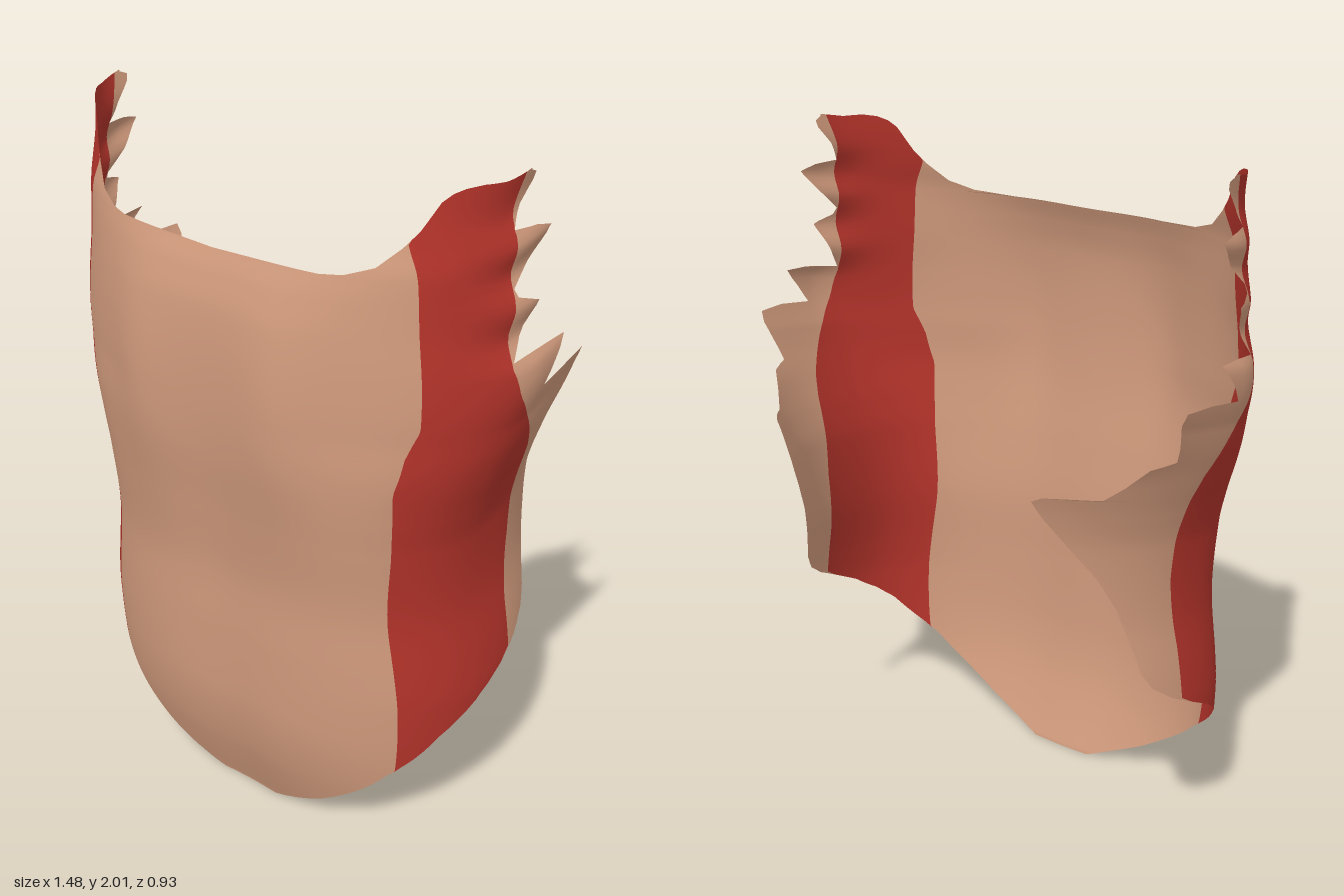
import * as THREE from 'three';

const tan = new THREE.MeshStandardMaterial({ color: 0xd09a7c, side: THREE.DoubleSide });
tan.name = 'tan';
const red = new THREE.MeshStandardMaterial({ color: 0xb2332a, side: THREE.DoubleSide });
red.name = 'red';

// Hull profiles by height: [height, value]
const WIDTH = [[0, 0.65], [0.3, 0.655], [0.5, 0.66], [0.6, 0.65], [0.8, 0.62], [1, 0.622], [1.1, 0.643],
  [1.2, 0.675], [1.3, 0.705], [1.4, 0.722], [1.5, 0.72], [1.6, 0.707], [1.7, 0.695], [1.8, 0.683], [1.9, 0.676], [2, 0.68]];
const FRONT = [[0, 0.31], [0.1, 0.345], [0.2, 0.375], [0.3, 0.395], [0.4, 0.405], [0.6, 0.41], [0.8, 0.41],
  [1, 0.43], [1.2, 0.455], [1.4, 0.465], [1.6, 0.455], [1.7, 0.43], [1.76, 0.405], [1.84, 0.37], [2, 0.335]];
const BACK = [[0, 0.6], [0.9, 0.58], [1.15, 0.62], [1.25, 0.7], [1.4, 1.1], [1.55, 1.3], [2, 1.3]];
// Squareness of the front cross-section: 1 is an ellipse
const POWER = [[0, 1.2], [0.6, 1.2], [1, 1.3], [1.2, 1.17], [1.35, 1.03], [1.6, 1], [1.7, 1.06], [1.8, 1.18], [2, 1.2]];
// Outward flare of each tooth and inward fold between teeth
const FLARE = [[1.36, 0], [1.5, 0.02], [1.59, -0.01], [1.67, 0.018], [1.75, -0.008], [1.82, 0.015], [1.9, -0.01], [2, 0]];

// Neckline and hem as [height, x]
const NECK = [[0, 0], [1.755, 0], [1.758, 0.3], [1.765, 0.38], [1.79, 0.45], [1.84, 0.5], [1.88, 0.53],
  [1.95, 0.565], [1.97, 0.585], [1.982, 0.607], [1.989, 0.635], [1.995, 0.665]];
const HEM = [[0, 0.1], [0.01, 0.125], [0.05, 0.21], [0.1, 0.302], [0.2, 0.436], [0.28, 0.513]];

// Stripe borders as [height, z]
const STRIPE_FRONT = [[0, 0.27], [0.3, 0.275], [0.7, 0.29], [1, 0.305], [1.2, 0.325], [1.3, 0.31], [1.38, 0.287], [1.6, 0.28], [2, 0.27]];
const STRIPE_BACK = [[0, -0.07], [0.7, -0.07], [0.9, -0.09], [1.05, -0.083], [1.14, -0.075], [1.21, -0.055],
  [1.32, 0.005], [1.44, 0.078], [1.52, 0.1], [1.7, 0.085], [1.9, 0.07], [1.99, 0.04]];

// Toothed rear edge as [y, z], from the hem up to the shoulder tip
const REAR = [[0.28, 0.276], [0.3, 0.265], [0.4, 0.195], [0.45, 0.14], [0.5, 0.07], [0.55, -0.02], [0.6, -0.11],
  [0.65, -0.175], [0.7, -0.205], [0.8, -0.23], [0.9, -0.26], [1, -0.31], [1.1, -0.375], [1.2, -0.44], [1.25, -0.468],
  [1.26, -0.455], [1.238, -0.34], [1.27, -0.3], [1.315, -0.26], [1.322, -0.19], [1.36, -0.2], [1.44, -0.23], [1.47, -0.225],
  [1.466, -0.13], [1.445, -0.01], [1.5, -0.045], [1.56, -0.095], [1.556, -0.02], [1.535, 0.095],
  [1.58, 0.065], [1.68, 0.01], [1.7, 0.075], [1.72, 0.08], [1.78, 0.01], [1.85, -0.055], [1.862, 0],
  [1.865, 0.075], [1.92, 0.045], [1.97, 0], [1.99, -0.005], [2, 0.02]];

// Grid rows rise towards the rear so that the teeth can point upwards
const rise = z => 0.2 * Math.max(0, 0.1 - z);
const rearRows = REAR.map(([y, z]) => [y - rise(z), z]);
for (let i = 1; i < rearRows.length; i++) rearRows[i][0] = Math.max(rearRows[i][0], rearRows[i - 1][0] + 0.002);

// Table lookup, straight or smoothed (Hermite with averaged slopes)
function lookup(t, v, smooth = false) {
  const last = t.length - 1;
  if (v <= t[0][0]) return t[0][1];
  if (v >= t[last][0]) return t[last][1];
  let i = 0;
  while (t[i + 1][0] < v) i++;
  const h = t[i + 1][0] - t[i][0], u = (v - t[i][0]) / h;
  if (!smooth) return t[i][1] + (t[i + 1][1] - t[i][1]) * u;
  const slope = k => {
    const a = t[Math.max(0, k - 1)], b = t[Math.min(last, k + 1)];
    return (b[1] - a[1]) / (b[0] - a[0]) * h;
  };
  const u2 = u * u, u3 = u2 * u;
  return (2 * u3 - 3 * u2 + 1) * t[i][1] + (u3 - 2 * u2 + u) * slope(i)
    + (3 * u2 - 2 * u3) * t[i + 1][1] + (u3 - u2) * slope(i + 1);
}

// Curved hull: angle 0 is centre front, 90 degrees is the flank
const bump = (x, centre, width) => Math.exp(-(((x - centre) / width) ** 2));
function hull(a, v) {
  const w = lookup(WIDTH, v, true), s = Math.max(0, Math.sin(a)), c = Math.cos(a);
  const flare = lookup(FLARE, v, true);
  if (c < 0) {
    const z = lookup(BACK, v, true) * c;
    return new THREE.Vector3(w * s + flare, v + rise(z), z);
  }
  const power = lookup(POWER, v, true);
  const x = w * Math.pow(s, 1 / power);
  const z = lookup(FRONT, v, true) * Math.pow(c, 1 / power)
    - 0.012 * bump(x, 0, 0.14) + 0.02 * bump(x, 0.24, 0.11) * bump(v, 1.38, 0.3);
  return new THREE.Vector3(x + flare * (1 - THREE.MathUtils.smoothstep(z, 0, 0.25)), v + rise(z), z);
}
function angleAtX(x, v) {
  return Math.asin(Math.min(1, Math.pow(x / lookup(WIDTH, v, true), lookup(POWER, v, true))));
}
function angleAtZ(z, v) {
  if (z < 0) return Math.acos(Math.max(-1, z / lookup(BACK, v, true)));
  return Math.acos(Math.min(1, Math.pow(z / lookup(FRONT, v, true), lookup(POWER, v, true))));
}

// Angles of neckline, stripe borders and outer edge on one row
function borders(v) {
  const start = angleAtX(lookup(NECK, v), v);
  const end = Math.max(start, v < 0.28 ? angleAtX(lookup(HEM, v, true), v) : angleAtZ(lookup(rearRows, v), v));
  const clamp = (a, lo) => Math.min(end, Math.max(lo, a));
  const b1 = clamp(angleAtZ(lookup(STRIPE_FRONT, v), v), start);
  const b2 = clamp(angleAtZ(lookup(STRIPE_BACK, v), v), b1);
  return [start, b1, b2, end];
}

// Rows: even steps plus every corner of the outlines
const rows = [...Array(91).keys()].map(i => i * 0.022)
  .concat(rearRows.map(p => p[0]), NECK.map(p => p[0]), HEM.map(p => p[0]))
  .filter(v => v <= 1.99).sort((a, b) => a - b)
  .filter((v, i, all) => i === 0 || v - all[i - 1] > 0.0005);

// One panel between two borders, on the left (+1) or right (-1)
function panel(from, columns, side) {
  const pos = [], nor = [], index = [], e = 0.004;
  for (const v of rows) {
    const b = borders(v);
    for (let j = 0; j <= columns; j++) {
      const a = b[from] + (b[from + 1] - b[from]) * j / columns;
      const p = hull(a, v), am = Math.max(a, 0.02);
      const n = hull(am + e, v).sub(hull(am - e, v)).cross(hull(am, v + e).sub(hull(am, v - e))).normalize();
      if (a < 0.02) n.setX(0).normalize();
      pos.push(side * p.x, p.y, p.z);
      nor.push(side * n.x, n.y, n.z);
    }
  }
  const corner = i => new THREE.Vector3().fromArray(pos, i * 3);
  const triangle = (a, b, c) => {
    const area = corner(b).sub(corner(a)).cross(corner(c).sub(corner(a))).length();
    if (area > 1e-8) index.push(...(side > 0 ? [a, b, c] : [a, c, b]));
  };
  const n = columns + 1;
  for (let i = 0; i < rows.length - 1; i++) {
    for (let j = 0; j < columns; j++) {
      const k = i * n + j;
      triangle(k, k + 1, k + n + 1);
      triangle(k, k + n + 1, k + n);
    }
  }
  const g = new THREE.BufferGeometry();
  g.setAttribute('position', new THREE.Float32BufferAttribute(pos, 3));
  g.setAttribute('normal', new THREE.Float32BufferAttribute(nor, 3));
  g.setIndex(index);
  return g;
}

export function createModel() {
  const model = new THREE.Group();
  model.name = 'curvedBodyShell';
  for (const [side, label] of [[1, 'left'], [-1, 'right']]) {
    [['FrontPanel', 24, tan], ['SideStripe', 14, red], ['ToothedRearPanel', 12, tan]].forEach(([name, columns, material], i) => {
      const mesh = new THREE.Mesh(panel(i, columns, side), material);
      mesh.name = label + name;
      model.add(mesh);
    });
  }
  return model;
}
